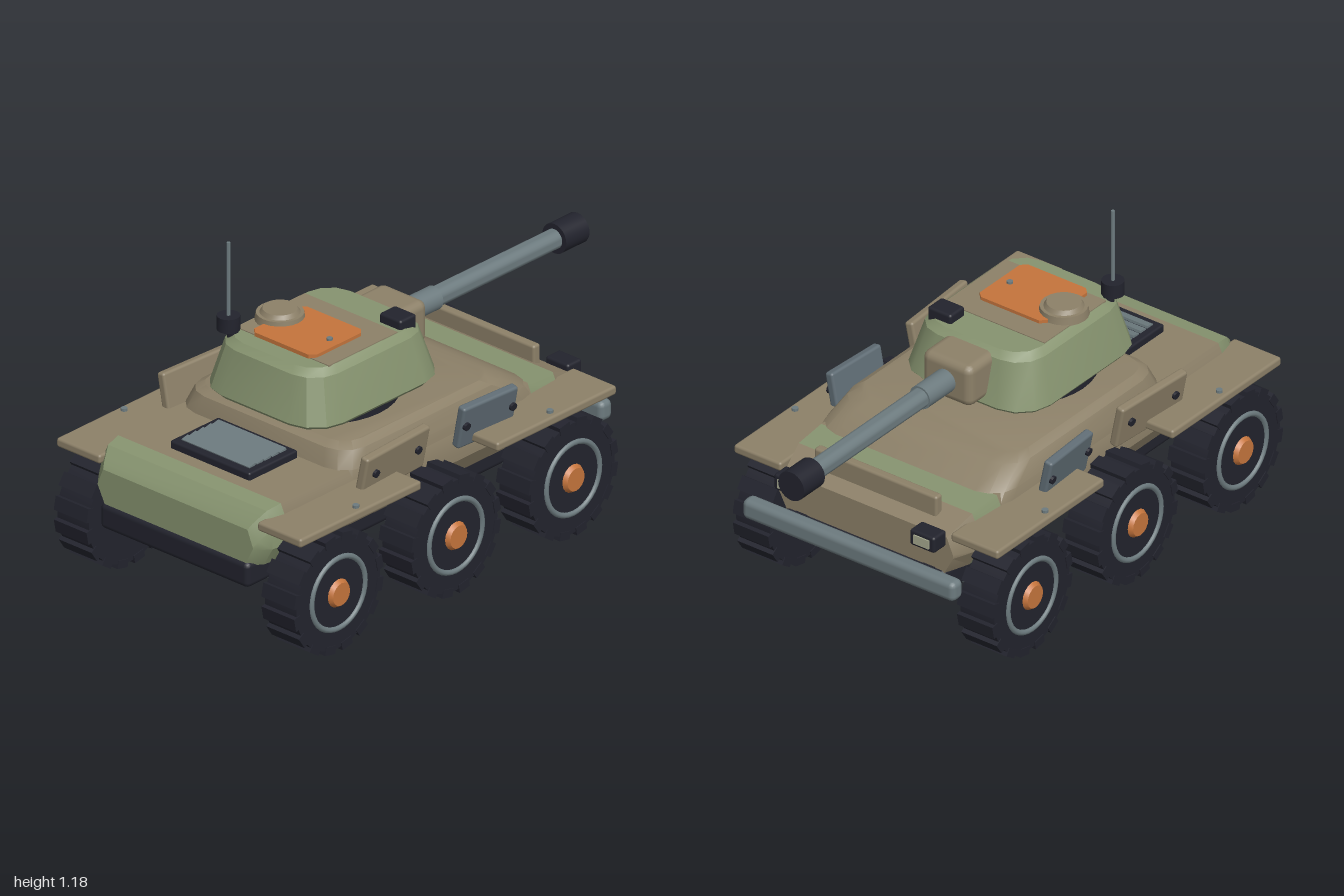
import * as THREE from 'three';
import { toCreasedNormals } from 'three/addons/utils/BufferGeometryUtils.js';
import { RoundedBoxGeometry } from 'three/addons/geometries/RoundedBoxGeometry.js';

const material = (name, color) => {
  const m = new THREE.MeshStandardMaterial({ color });
  m.name = name;
  return m;
};

// Skin over stacked rings, each listed counterclockwise as seen from the far end
function loft(rings) {
  const p = [];
  const tri = (...pts) => pts.forEach((q) => p.push(...q));
  const n = rings[0].length;
  for (let k = 0; k < rings.length - 1; k++) {
    for (let i = 0; i < n; i++) {
      const j = (i + 1) % n, a = rings[k], b = rings[k + 1];
      tri(a[i], a[j], b[j]);
      tri(a[i], b[j], b[i]);
    }
  }
  const lo = rings[0], hi = rings[rings.length - 1];
  for (let i = 1; i < n - 1; i++) {
    tri(lo[0], lo[i + 1], lo[i]);
    tri(hi[0], hi[i], hi[i + 1]);
  }
  const g = new THREE.BufferGeometry();
  g.setAttribute('position', new THREE.Float32BufferAttribute(p, 3));
  return toCreasedNormals(g, 0.5);
}

// Horizontal rectangle with rounded corners at height y
function roundedRing(y, hx, z0, z1, r, seg = 3) {
  const pts = [], corners = [[hx - r, z0 + r], [-hx + r, z0 + r], [-hx + r, z1 - r], [hx - r, z1 - r]];
  corners.forEach(([cx, cz], c) => {
    for (let i = 0; i <= seg; i++) {
      const a = (c + i / seg) * Math.PI / 2;
      pts.push([cx + r * Math.cos(a), y, cz - r * Math.sin(a)]);
    }
  });
  return pts;
}

// Upright eight-sided hull section at z
function hullRing([z, w, top, bottom]) {
  const half = [[0.9 * w, bottom], [w, bottom + 0.07], [w, top - 0.06], [0.93 * w, top]];
  return [
    ...half.map(([x, y]) => [x, y, z]),
    ...half.slice().reverse().map(([x, y]) => [-x, y, z]),
  ];
}

export function createModel() {
  const model = new THREE.Group();
  model.name = 'armouredCar';
  const tan = material('tan', 0x8c8068);
  const green = material('green', 0x86936f);
  const dark = material('darkRubber', 0x22232d);
  const steel = material('steel', 0x6c7a7e);
  const slate = material('slatePanel', 0x5f6c74);
  const orange = material('orange', 0xc4743c);
  const lens = material('lens', 0xa5a88e);

  const add = (name, geo, mat, x = 0, y = 0, z = 0, parent = model) => {
    const m = new THREE.Mesh(geo, mat);
    m.name = name;
    m.position.set(x, y, z);
    parent.add(m);
    return m;
  };
  const box = (w, h, d, r = 0.01) => new RoundedBoxGeometry(w, h, d, 2, r);
  const cyl = (r0, r1, h, n = 24) => toCreasedNormals(new THREE.CylinderGeometry(r0, r1, h, n), 0.6);
  const cylX = (r0, r1, h, n) => cyl(r0, r1, h, n).rotateZ(-Math.PI / 2);
  const cylZ = (r0, r1, h, n) => cyl(r0, r1, h, n).rotateX(Math.PI / 2);

  // Lower hull in painted lengths, from the gun end to the engine end
  const nose = [[-0.59, 0.37, 0.475, 0.33], [-0.48, 0.395, 0.525, 0.32]];
  const glacis = [nose[1], [-0.35, 0.4, 0.535, 0.32]];
  const middle = [glacis[1], [0.87, 0.4, 0.535, 0.32]];
  const tail = [middle[1], [0.93, 0.39, 0.525, 0.32], [0.975, 0.365, 0.485, 0.325], [0.99, 0.355, 0.465, 0.33]];
  add('hullNose', loft(nose.map(hullRing)), tan);
  add('hullGlacis', loft(glacis.map(hullRing)), green);
  add('hullMiddle', loft(middle.map(hullRing)), tan);
  add('hullTail', loft(tail.map(hullRing)), green);
  add('belly', box(0.68, 0.095, 1.6, 0.02), dark, 0, 0.293, 0.2);

  // Raised upper hull
  add('upperHull', loft([
    roundedRing(0.5, 0.4, -0.4, 0.58, 0.1),
    roundedRing(0.535, 0.395, -0.37, 0.575, 0.1),
    roundedRing(0.595, 0.375, -0.27, 0.55, 0.1),
    roundedRing(0.613, 0.345, -0.22, 0.52, 0.08),
  ]), tan);
  add('splashBoard', box(0.52, 0.09, 0.035), tan, 0, 0.53, -0.52);

  // Engine grille
  add('grilleFrame', box(0.365, 0.035, 0.24, 0.008), dark, 0, 0.545, 0.7);
  for (let i = 0; i < 5; i++) {
    const slat = add('grilleSlat', new THREE.BoxGeometry(0.31, 0.009, 0.032), steel, 0, 0.565, 0.624 + i * 0.038);
    slat.rotation.x = 0.2;
  }

  // Wheels and axles
  const tyreGeo = cylX(0.207, 0.207, 0.144, 36);
  const lugGeo = new THREE.BoxGeometry(0.15, 0.03, 0.05);
  const rimGeo = new THREE.TorusGeometry(0.132, 0.011, 8, 36).rotateY(Math.PI / 2);
  const hubGeo = cylX(0.042, 0.058, 0.025, 16);
  for (const z of [-0.385, 0.195, 0.775]) {
    add('axle', cylX(0.04, 0.04, 0.84, 16), steel, 0, 0.215, z);
    for (const s of [1, -1]) {
      const wheel = new THREE.Group();
      wheel.name = 'wheel';
      wheel.position.set(s * 0.475, 0.222, z);
      wheel.rotation.y = s > 0 ? 0 : Math.PI;
      model.add(wheel);
      add('tyre', tyreGeo, dark, 0, 0, 0, wheel);
      for (let i = 0; i < 16; i++) {
        const a = (i + 0.5) * Math.PI / 8;
        const lug = add('treadLug', lugGeo, dark, 0, 0.206 * Math.cos(a), 0.206 * Math.sin(a), wheel);
        lug.rotation.x = a;
      }
      add('rimRing', rimGeo, steel, 0.07, 0, 0, wheel);
      add('hub', hubGeo, orange, 0.075, 0, 0, wheel);
    }
  }

  // Fenders, side panels and lamps, mirrored
  for (const s of [1, -1]) {
    for (const [z, d, bolt] of [[-0.295, 0.59, -0.29], [0.675, 0.6, 0.67]]) {
      add('fender', box(0.2, 0.034, d), tan, s * 0.46, 0.483, z);
      add('fenderBolt', cyl(0.012, 0.012, 0.012, 10), steel, s * 0.53, 0.504, bolt);
    }
    const panels = [[0.395, 0.335, tan, 1], [-0.065, 0.255, slate, -1]];
    for (const [z, d, mat, flare] of panels) {
      const panel = new THREE.Group();
      panel.name = 'sidePanel';
      panel.position.set(s * 0.442, 0.54, z);
      panel.rotation.set(0, s * flare * 0.06, -s * 0.2);
      model.add(panel);
      add('panelPlate', box(0.034, 0.165, d), mat, 0, 0, 0, panel);
      for (const e of [1, -1]) {
        add('panelBolt', cylX(0.015, 0.015, 0.014, 10), dark, s * 0.02, 0.01, e * (d / 2 - 0.055 + (mat === slate ? 0.035 : 0)), panel);
      }
    }
    add('lamp', box(0.105, 0.062, 0.07), dark, s * 0.288, 0.47, -0.62);
    add('lampLens', new THREE.BoxGeometry(0.065, 0.034, 0.006), lens, s * 0.288, 0.47, -0.657);
    add('bumperBracket', new THREE.BoxGeometry(0.05, 0.03, 0.1), dark, s * 0.27, 0.325, -0.6);
  }
  add('bumperBar', box(0.9, 0.076, 0.06, 0.022), steel, 0, 0.338, -0.662);

  // Turret
  add('turretRing', cyl(0.265, 0.265, 0.08, 36), dark, 0, 0.612, 0.265);
  add('turretShell', loft([
    roundedRing(0.645, 0.275, -0.06, 0.585, 0.13),
    roundedRing(0.658, 0.285, -0.07, 0.595, 0.13),
    roundedRing(0.82, 0.24, -0.025, 0.555, 0.11),
    roundedRing(0.843, 0.215, 0, 0.53, 0.1),
  ]), green);
  add('turretRoofPanel', new THREE.BoxGeometry(0.425, 0.006, 0.34), tan, 0, 0.843, 0.29);
  add('hatch', loft([
    roundedRing(0.843, 0.143, 0.205, 0.465, 0.02, 1),
    roundedRing(0.858, 0.143, 0.205, 0.465, 0.02, 1),
  ]), orange);
  add('hatchBolt', cyl(0.011, 0.011, 0.01, 10), steel, 0.1, 0.861, 0.335);
  add('cupolaBase', cyl(0.082, 0.087, 0.03, 20), tan, -0.145, 0.858, 0.315);
  add('cupolaLid', cyl(0.06, 0.07, 0.015, 20), tan, -0.145, 0.88, 0.315);
  add('sight', box(0.1, 0.06, 0.08), dark, 0.16, 0.847, 0.062);

  // Antenna
  add('antennaBase', cyl(0.04, 0.04, 0.052, 16), dark, -0.21, 0.88, 0.5);
  add('antennaRod', cyl(0.007, 0.007, 0.28, 8), steel, -0.21, 1.04, 0.5);
  add('antennaFoot', cyl(0.02, 0.02, 0.05, 12), dark, -0.2, 0.84, 0.49);

  // Gun
  add('mantlet', box(0.21, 0.16, 0.24, 0.03), tan, 0, 0.75, -0.03);
  add('barrelSleeve', cylZ(0.043, 0.043, 0.16), steel, 0, 0.75, -0.21);
  add('barrel', cylZ(0.036, 0.036, 0.66), steel, 0, 0.75, -0.59);
  add('muzzle', cylZ(0.055, 0.055, 0.115), dark, 0, 0.75, -0.9425);

  return model;
}
